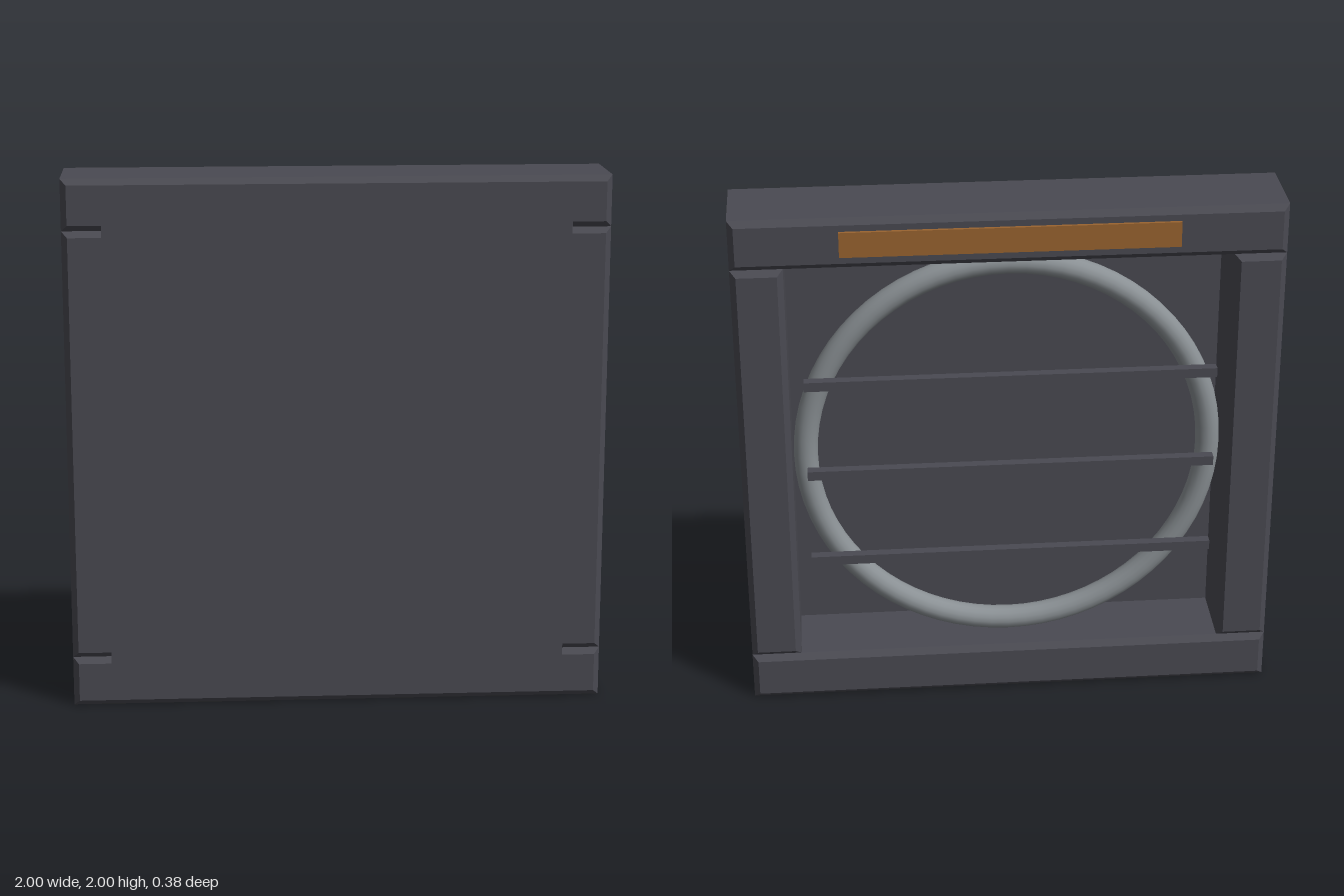
import * as THREE from 'three';

const material = (name, color) => {
  const m = new THREE.MeshStandardMaterial({ color });
  m.name = name;
  return m;
};

// Box with a single flat chamfer on every edge
function chamferBox(w, h, d, c = 0.022) {
  const x = w / 2 - c, y = h / 2 - c;
  const shape = new THREE.Shape([
    new THREE.Vector2(-x, -y), new THREE.Vector2(x, -y),
    new THREE.Vector2(x, y), new THREE.Vector2(-x, y),
  ]);
  const geometry = new THREE.ExtrudeGeometry(shape, {
    depth: d - 2 * c, bevelEnabled: true, bevelSegments: 1, bevelSize: c, bevelThickness: c,
  });
  return geometry.translate(0, 0, -d / 2 + c);
}

export function createModel() {
  const group = new THREE.Group();
  group.name = 'framedPanel';
  const darkMetal = material('darkMetal', 0x4a4a52);
  const greyMetal = material('greyMetal', 0x8a9094);
  const brownLabel = material('brownLabel', 0x9a6430);

  const add = (name, geometry, mat, x, y, z) => {
    const mesh = new THREE.Mesh(geometry, mat);
    mesh.name = name;
    mesh.position.set(x, y, z);
    group.add(mesh);
  };

  // Chamfered frame: two full-width rails with two posts between them
  const bar = 0.19, depth = 0.34, frameZ = 0.02;
  const rail = chamferBox(2, bar, depth);
  const post = chamferBox(bar, 2 - 2 * bar, depth);
  add('topRail', rail, darkMetal, 0, 2 - bar / 2, frameZ);
  add('bottomRail', rail, darkMetal, 0, bar / 2, frameZ);
  add('leftPost', post, darkMetal, 1 - bar / 2, 1, frameZ);
  add('rightPost', post, darkMetal, -1 + bar / 2, 1, frameZ);

  // Front panel, flush with the frame
  add('frontPanel', new THREE.BoxGeometry(1.71, 1.71, 0.05), darkMetal, 0, 1, 0.165);

  // Ring inside the recess
  add('ring', new THREE.TorusGeometry(0.76, 0.045, 16, 72), greyMetal, 0, 1, -0.01);

  // Guard rods across the back
  for (const y of [0.635, 1.0, 1.367]) {
    add('guardRod', new THREE.BoxGeometry(1.51, 0.036, 0.036), darkMetal, 0, y, -0.172);
  }

  // Plate on the back of the top rail
  add('backPlate', new THREE.BoxGeometry(1.22, 0.095, 0.03), brownLabel, 0, 1.907, -0.147);

  return group;
}
